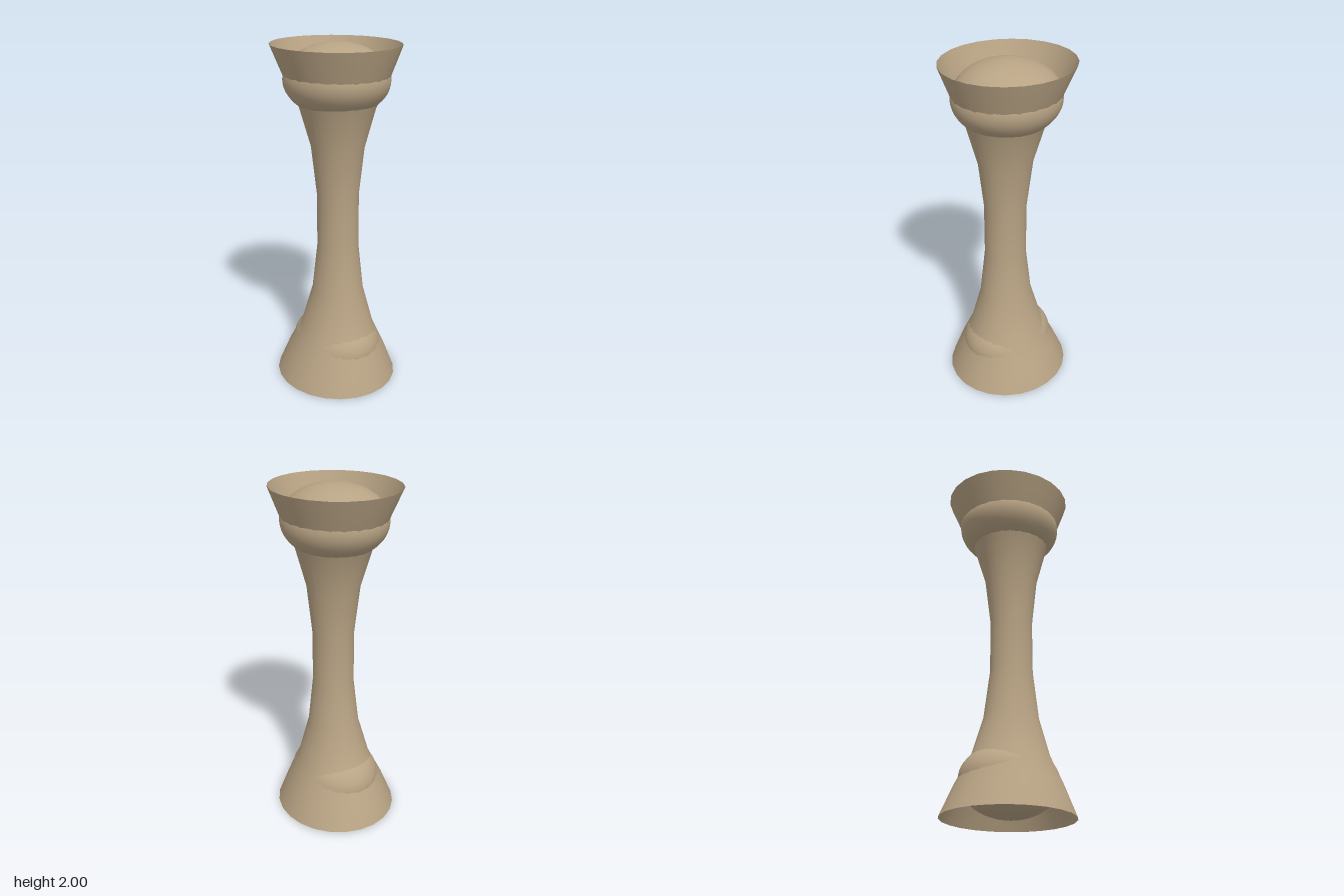
import * as THREE from 'three';
import { mergeVertices } from 'three/addons/utils/BufferGeometryUtils.js';

const material = new THREE.MeshStandardMaterial({ color: 0xb8a384, side: THREE.DoubleSide });

// Column rings from top to bottom: [y, x radius, z radius, z centre]
const RINGS = [
  [1.99, 0.353, 0.375, 0],
  [1.82, 0.287, 0.304, 0.007],
  [1.65, 0.208, 0.222, 0.016],
  [1.43, 0.148, 0.158, 0.02],
  [1.15, 0.119, 0.124, 0.022],
  [0.84, 0.119, 0.124, 0.022],
  [0.56, 0.148, 0.158, 0.02],
  [0.33, 0.21, 0.224, 0.016],
  [0.17, 0.286, 0.303, 0.007],
  [0, 0.353, 0.374, 0.001],
];

// Open tube whose rows of vertices are fitted to the rings
function flaredColumn() {
  const sides = 24;
  let geometry = new THREE.CylinderGeometry(1, 1, 1, sides, RINGS.length - 1, true);
  const p = geometry.attributes.position;
  for (let i = 0; i < p.count; i++) {
    const [y, rx, rz, cz] = RINGS[Math.floor(i / (sides + 1))];
    p.setXYZ(i, p.getX(i) * rx, y, p.getZ(i) * rz + cz);
  }
  // Weld the seam so shading stays smooth all round
  geometry.deleteAttribute('uv');
  geometry.deleteAttribute('normal');
  geometry = mergeVertices(geometry);
  geometry.computeVertexNormals();
  return geometry;
}

function addPart(group, name, geometry) {
  const mesh = new THREE.Mesh(geometry, material);
  mesh.name = name;
  group.add(mesh);
  return mesh;
}

// Rounded joint end, a squashed ball
function addKnob(group, name, y, rx, ry, rz) {
  const geometry = new THREE.SphereGeometry(1, 40, 28);
  geometry.scale(rx, ry, rz);
  addPart(group, name, geometry).position.set(0, y, 0.008);
}

export function createModel() {
  const group = new THREE.Group();
  group.name = 'flaredColumnWithKnobs';
  addPart(group, 'column', flaredColumn());
  addKnob(group, 'topKnob', 1.8, 0.291, 0.2, 0.306);
  addKnob(group, 'bottomKnob', 0.2, 0.25, 0.2, 0.286);
  return group;
}
